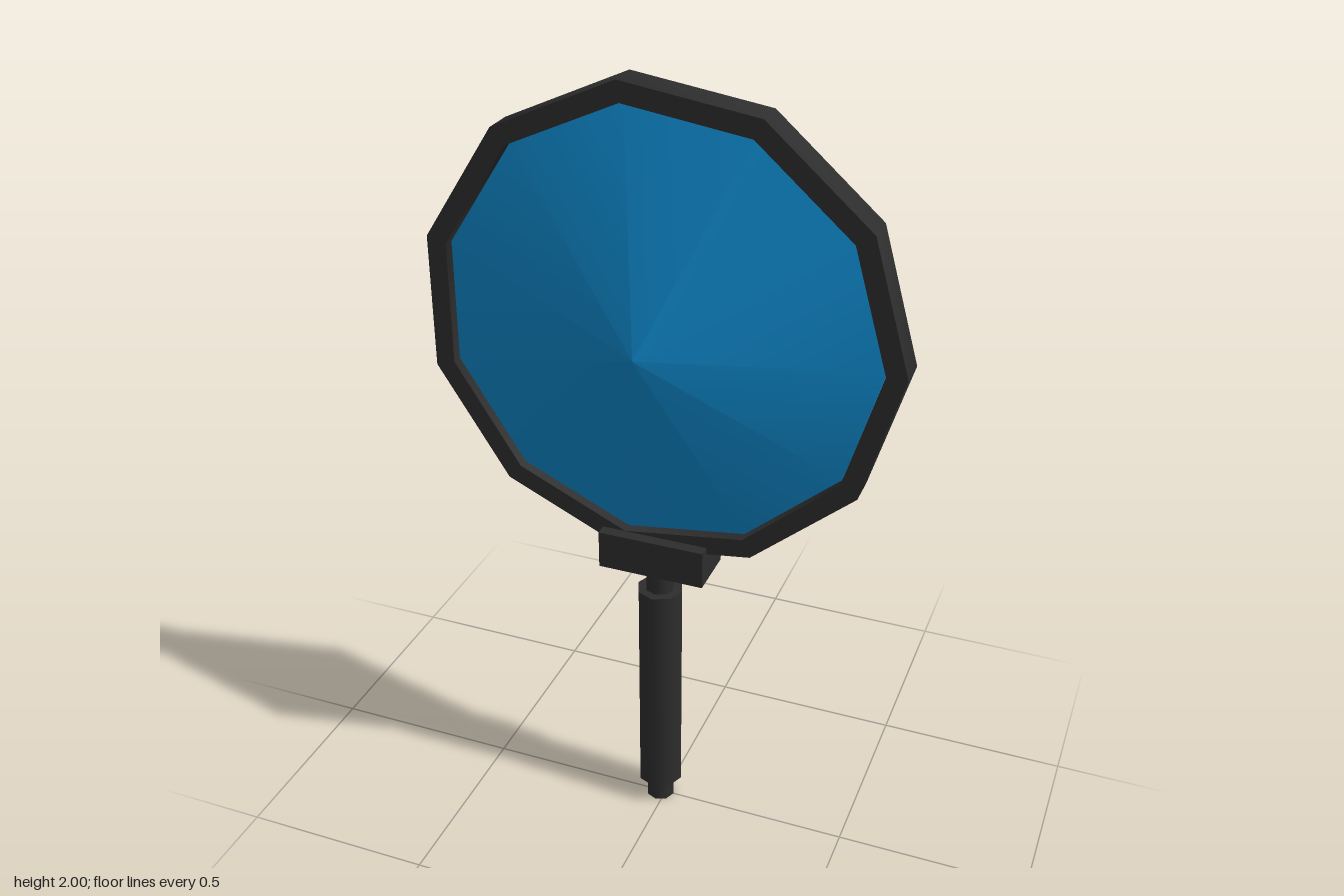
import * as THREE from 'three';
import { toCreasedNormals } from 'three/addons/utils/BufferGeometryUtils.js';

const SIDES = 11;
const CX = -0.015; // axis of the handle and disc
const CY = 1.405; // height of the disc centre

// Eleven-sided outline with one corner pointing to +x
function polygon(radius) {
  return Array.from({ length: SIDES }, (_, i) => {
    const a = (i / SIDES) * Math.PI * 2;
    return new THREE.Vector2(radius * Math.cos(a), radius * Math.sin(a));
  });
}

export function createModel() {
  const model = new THREE.Group();
  model.name = 'paddle';

  const black = new THREE.MeshStandardMaterial({ color: 0x2d2d2d });
  black.name = 'black';
  const blue = new THREE.MeshStandardMaterial({ color: 0x0e86c8 });
  blue.name = 'blue';

  function add(name, geometry, material, y, z = 0) {
    const mesh = new THREE.Mesh(geometry, material);
    mesh.name = name;
    mesh.position.set(CX, y, z);
    model.add(mesh);
    return mesh;
  }

  // Rim: square-section ring
  const ring = new THREE.Shape(polygon(0.601));
  ring.holes.push(new THREE.Path(polygon(0.55)));
  const rim = new THREE.ExtrudeGeometry(ring, { depth: 0.08, bevelEnabled: false });
  add('rim', toCreasedNormals(rim, Math.PI / 4), black, CY, -0.04);

  // Shallow cone on each face of the disc, with a short edge wall between
  const edge = 0.016;
  const tip = 0.17;
  for (const side of [1, -1]) {
    const cone = new THREE.ConeGeometry(0.547, tip - edge, SIDES, 1, true);
    cone.rotateY(Math.PI / 2); // first corner to +x
    cone.rotateX((side * Math.PI) / 2);
    add(side > 0 ? 'frontPanel' : 'backPanel', cone, blue, CY, (side * (tip + edge)) / 2);
  }
  const wall = new THREE.CylinderGeometry(0.547, 0.547, edge * 2, SIDES, 1, true);
  wall.rotateY(Math.PI / 2);
  wall.rotateX(Math.PI / 2);
  add('panelEdge', wall, blue, CY);

  // Bracket joining the rim to the handle
  add('bracket', new THREE.BoxGeometry(0.276, 0.1, 0.14), black, 0.81);

  // Handle: thin shaft through a thicker grip
  add('shaft', new THREE.CylinderGeometry(0.038, 0.038, 0.8, 8), black, 0.4);
  add('grip', new THREE.CylinderGeometry(0.06, 0.06, 0.62, 8), black, 0.375);

  return model;
}
